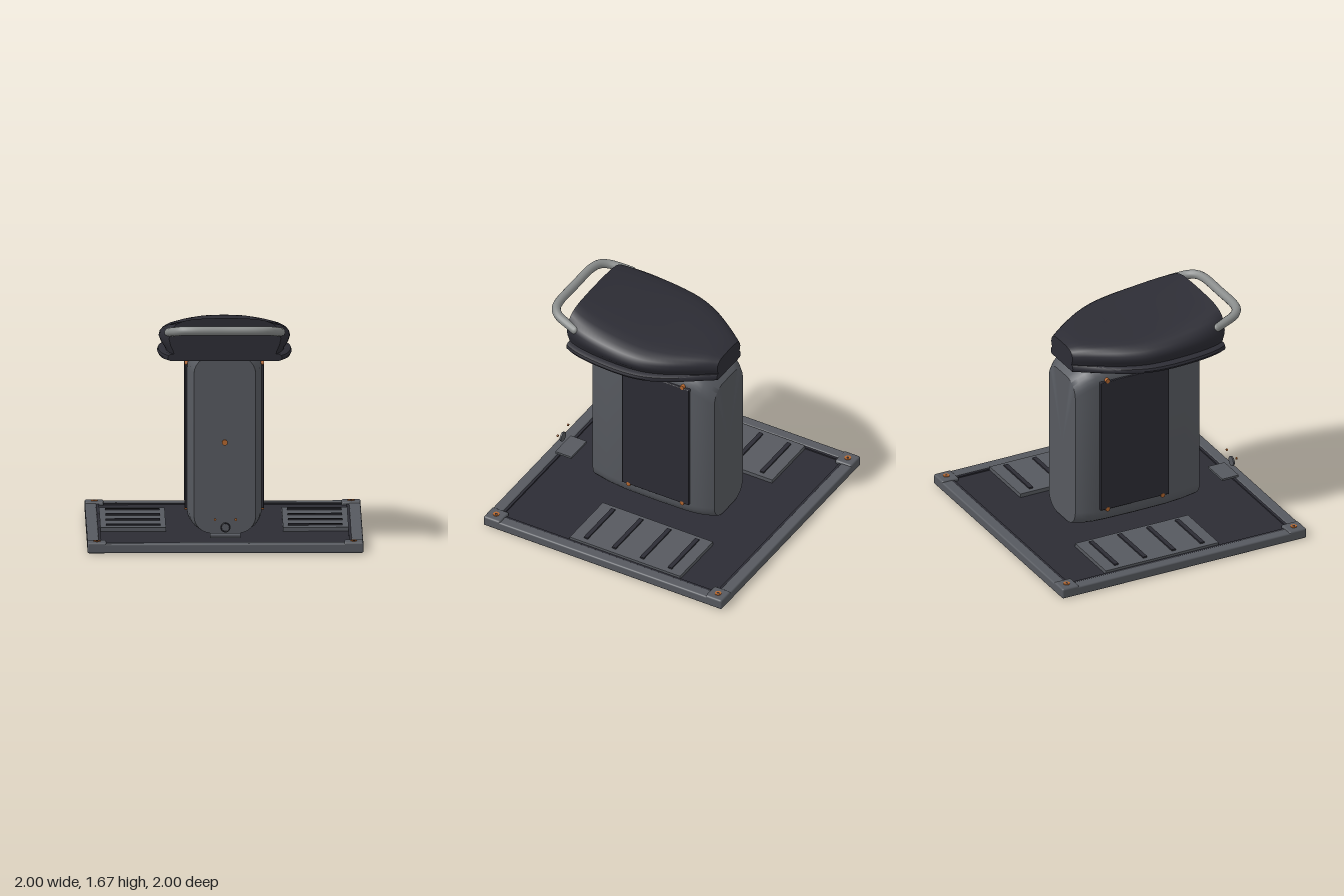
import * as THREE from 'three';
import { toCreasedNormals } from 'three/addons/utils/BufferGeometryUtils.js';
import { RoundedBoxGeometry } from 'three/addons/geometries/RoundedBoxGeometry.js';

function material(name, color) {
  const m = new THREE.MeshStandardMaterial({ color });
  m.name = name;
  return m;
}

// Skin over rings of [x, y] points (counter-clockwise seen from +z), ordered back to front
function loft(sections, crease = 0.7) {
  const pos = [];
  const n = sections[0].ring.length;
  const put = (s, j) => pos.push(s.ring[j % n][0], s.ring[j % n][1], s.z);
  for (let i = 0; i < sections.length - 1; i++) {
    const a = sections[i], b = sections[i + 1];
    for (let j = 0; j < n; j++) {
      put(a, j); put(a, j + 1); put(b, j + 1);
      put(a, j); put(b, j + 1); put(b, j);
    }
  }
  const cap = (s, front) => {
    const ys = s.ring.map(p => p[1]);
    const cy = (Math.min(...ys) + Math.max(...ys)) / 2;
    for (let j = 0; j < n; j++) {
      pos.push(0, cy, s.z);
      if (front) { put(s, j); put(s, j + 1); } else { put(s, j + 1); put(s, j); }
    }
  };
  cap(sections[0], false);
  cap(sections[sections.length - 1], true);
  const g = new THREE.BufferGeometry();
  g.setAttribute('position', new THREE.Float32BufferAttribute(pos, 3));
  return toCreasedNormals(g, crease);
}

// Rounded rectangle ring of half width w between y0 and y1
function roundedRing(w, y0, y1, r, steps = 6) {
  const ring = [];
  const corners = [[w - r, y0 + r, -0.5], [w - r, y1 - r, 0], [r - w, y1 - r, 0.5], [r - w, y0 + r, 1]];
  for (const [cx, cy, start] of corners) {
    for (let i = 0; i <= steps; i++) {
      const a = (start + 0.5 * i / steps) * Math.PI;
      ring.push([cx + r * Math.cos(a), cy + r * Math.sin(a)]);
    }
  }
  return ring;
}

// Mirrored ring from a half profile of [width factor, height factor], bottom to top
function profileRing(profile, w, y0, y1) {
  const half = profile.map(([u, v]) => [u * w, y0 + v * (y1 - y0)]);
  return [...half, ...half.slice().reverse().map(([x, y]) => [-x, y])];
}

export function createModel() {
  const model = new THREE.Group();
  model.name = 'pedestalSeat';
  const frame = material('frameGrey', 0x56595f);
  const dark = material('darkPadding', 0x2c2c34);
  const metal = material('handleMetal', 0x888b8a);
  const copper = material('copper', 0xb5672f);
  const rubber = material('rubberBlack', 0x1f1f1f);

  const add = (name, geometry, mat, x = 0, y = 0, z = 0) => {
    const mesh = new THREE.Mesh(geometry, mat);
    mesh.name = name;
    mesh.position.set(x, y, z);
    model.add(mesh);
    return mesh;
  };
  const box = (name, mat, w, h, d, x, y, z) => add(name, new THREE.BoxGeometry(w, h, d), mat, x, y, z);
  const rounded = (name, mat, w, h, d, r, x, y, z) =>
    add(name, new RoundedBoxGeometry(w, h, d, 2, r), mat, x, y, z);
  const disc = (name, mat, r, h, x, y, z, axis = 'y') => {
    const g = new THREE.CylinderGeometry(r, r, h, 20);
    if (axis === 'x') g.rotateZ(Math.PI / 2);
    if (axis === 'z') g.rotateX(Math.PI / 2);
    return add(name, g, mat, x, y, z);
  };

  // Base platform with raised rim and corner blocks
  box('deck', dark, 1.86, 0.04, 1.86, 0, 0.035, 0);
  box('underside', rubber, 1.9, 0.012, 1.9, 0, 0.006, 0);
  for (const s of [-1, 1]) {
    rounded('sideRim', frame, 0.085, 0.07, 2, 0.012, s * 0.9575, 0.036, 0);
    rounded('endRim', frame, 2, 0.07, 0.085, 0.012, 0, 0.036, s * 0.9575);
    box('sideSeal', dark, 0.02, 0.06, 1.83, s * 0.908, 0.035, 0);
    box('endSeal', dark, 1.83, 0.06, 0.02, 0, 0.035, s * 0.908);
    for (const t of [-1, 1]) {
      rounded('cornerBlock', frame, 0.138, 0.078, 0.138, 0.014, s * 0.931, 0.041, t * 0.931);
      disc('cornerBolt', copper, 0.024, 0.008, s * 0.931, 0.081, t * 0.931);
      disc('cornerBoltSocket', dark, 0.01, 0.004, s * 0.931, 0.084, t * 0.931);
    }
    // Foot plates with grip strips
    box('footPlate', frame, 0.475, 0.035, 0.925, s * 0.662, 0.0665, -0.13);
    for (let i = 0; i < 4; i++) {
      box('gripStrip', dark, 0.395, 0.014, 0.033, s * 0.66, 0.088, -0.483 + i * 0.235);
    }
  }

  // Column: tapered at both ends, with a sloped rear shoulder
  const columnStations = [
    [-0.475, 0.205, 1.26], [-0.44, 0.228, 1.295], [-0.39, 0.248, 1.33], [-0.33, 0.262, 1.355],
    [-0.24, 0.27, 1.37], [0, 0.274, 1.372], [0.25, 0.27, 1.372], [0.4, 0.254, 1.37], [0.535, 0.224, 1.368],
  ];
  add('column', loft(columnStations.map(([z, w, top]) =>
    ({ z, ring: roundedRing(w, 0.075, top, 0.125) }))), frame);
  disc('columnBolt', copper, 0.021, 0.014, 0, 0.74, 0.541, 'z');

  // Side panels with fixing bolts
  for (const s of [-1, 1]) {
    rounded('sidePanel', dark, 0.034, 1.05, 0.56, 0.006, s * 0.27, 0.737, -0.027);
    for (const y of [0.212, 1.267]) {
      for (const z of [0.2, -0.25]) disc('panelBolt', copper, 0.017, 0.03, s * 0.273, y, z, 'x');
    }
    disc('seatMount', copper, 0.055, 0.03, s * 0.308, 1.345, 0.145);
  }

  // Seat outline: z, half width, cushion top
  const seatCurve = new THREE.CatmullRomCurve3([
    [-0.477, 0.165, 1.51], [-0.4, 0.222, 1.528], [-0.3, 0.295, 1.54], [-0.15, 0.39, 1.552],
    [0, 0.452, 1.563], [0.15, 0.474, 1.58], [0.3, 0.474, 1.602], [0.45, 0.462, 1.628],
    [0.57, 0.437, 1.652], [0.645, 0.405, 1.67],
  ].map(([z, w, top]) => new THREE.Vector3(w, top, z)), false, 'centripetal');
  const stations = seatCurve.getPoints(36);
  const cushionProfile = [
    [0.91, 0], [0.93, 0.1], [0.975, 0.25], [1, 0.42], [0.985, 0.58], [0.94, 0.72],
    [0.86, 0.84], [0.74, 0.92], [0.58, 0.97], [0.3, 0.995], [0.1, 1],
  ];
  const flangeProfile = [[0.95, 0], [1, 0.15], [1.015, 0.45], [1, 0.8], [0.95, 1]];
  const rise = z => 0.012 * (z + 0.477);
  add('seatCushion', loft(stations.map(p =>
    ({ z: p.z, ring: profileRing(cushionProfile, p.x, 1.392 + rise(p.z), p.y) }))), dark);
  add('seatFlange', loft(stations.map(p =>
    ({ z: p.z, ring: profileRing(flangeProfile, p.x * 1.01, 1.341 + rise(p.z), 1.393 + rise(p.z)) }))), dark);

  // Front grab handle
  const handlePoints = [
    [-0.405, 1.555, 0.575], [-0.385, 1.572, 0.66], [-0.355, 1.588, 0.745], [-0.31, 1.599, 0.79], [-0.24, 1.603, 0.812],
  ];
  const handlePath = new THREE.CatmullRomCurve3([
    ...handlePoints,
    [0, 1.604, 0.816],
    ...handlePoints.slice().reverse().map(([x, y, z]) => [-x, y, z]),
  ].map(p => new THREE.Vector3(...p)), false, 'centripetal');
  add('grabHandle', new THREE.TubeGeometry(handlePath, 64, 0.033, 14), metal);
  for (const [x, y, z] of [handlePoints[0], [0.405, 1.555, 0.575]]) {
    add('handleEnd', new THREE.SphereGeometry(0.033, 14, 10), metal, x, y, z);
  }

  // Small front bracket, dial and studs
  box('frontBracket', frame, 0.22, 0.016, 0.135, 0, 0.107, 0.848);
  disc('dial', frame, 0.037, 0.012, 0, 0.178, 0.916, 'z');
  add('dialRing', new THREE.TorusGeometry(0.031, 0.005, 8, 24), dark, 0, 0.178, 0.92);
  for (const s of [-1, 1]) disc('stud', copper, 0.009, 0.01, s * 0.075, 0.235, 0.916, 'z');

  return model;
}
